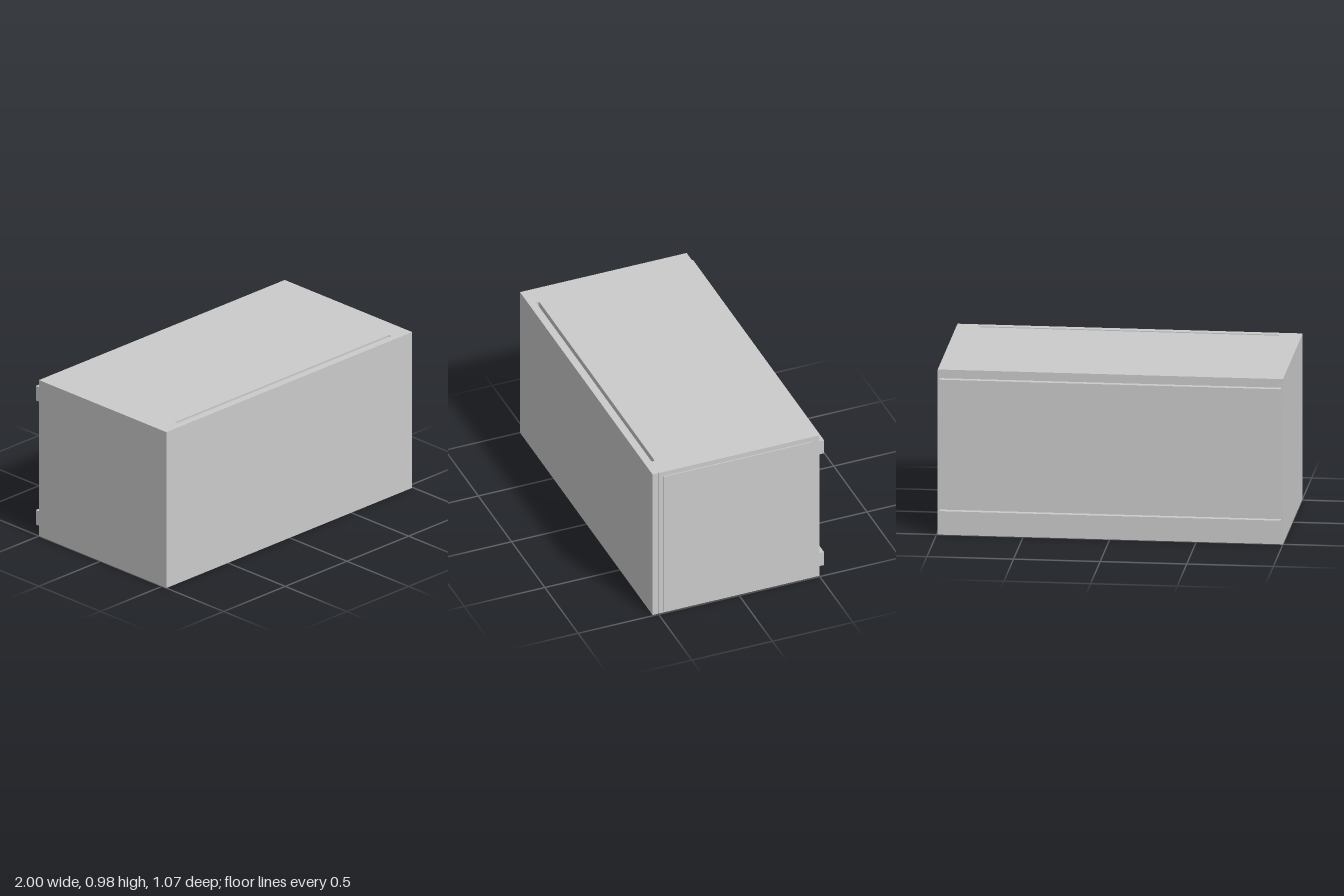
import * as THREE from 'three';

const HEIGHT = 0.98;
const LEFT = 0.993; // +x face of the case, just inside the side plate

export function createModel() {
  const group = new THREE.Group();
  const material = new THREE.MeshStandardMaterial({ color: 0xcccccc, flatShading: true });

  function add(name, geometry) {
    const mesh = new THREE.Mesh(geometry, material);
    mesh.name = name;
    group.add(mesh);
  }

  // Box given by its lower and upper limits on each axis
  function addBox(name, [x0, x1], [y0, y1], [z0, z1]) {
    const geometry = new THREE.BoxGeometry(x1 - x0, y1 - y0, z1 - z0);
    geometry.translate((x0 + x1) / 2, (y0 + y1) / 2, (z0 + z1) / 2);
    add(name, geometry);
  }

  // Case: plan outline (shape y = -z) with a fine seam notch beside the front panel
  const plan = new THREE.Shape([
    [-1, 0.5], [-1, -0.497], [LEFT - 0.008, -0.497],
    [LEFT - 0.008, -0.494], [LEFT, -0.494], [LEFT, 0.5],
  ].map(([x, y]) => new THREE.Vector2(x, y)));

  // Round-ended ventilation slot running from top to bottom
  const slot = new THREE.Path();
  const slotX = 0.86, slotY = -0.48, slotR = 0.01;
  slot.absarc(slotX, slotY, slotR, -Math.PI / 2, Math.PI / 2, false);
  slot.absarc(-slotX, slotY, slotR, Math.PI / 2, Math.PI * 1.5, false);
  plan.holes.push(slot);

  const caseGeometry = new THREE.ExtrudeGeometry(plan, {
    depth: HEIGHT, bevelEnabled: false, curveSegments: 8,
  });
  caseGeometry.rotateX(-Math.PI / 2);
  add('case', caseGeometry);

  // Front cover and thin raised plate on the left side
  addBox('frontPanel', [-1, LEFT], [0, HEIGHT], [0.497, 0.535]);
  addBox('sidePlate', [LEFT, 1], [0.015, 0.95], [-0.46, 0.47]);

  // Two mounting rails across the back
  for (const [name, y] of [['lowerRail', 0.058], ['upperRail', 0.838]]) {
    addBox(name, [-0.99, 0.98], [y, y + 0.091], [-0.535, -0.5]);
  }

  return group;
}
